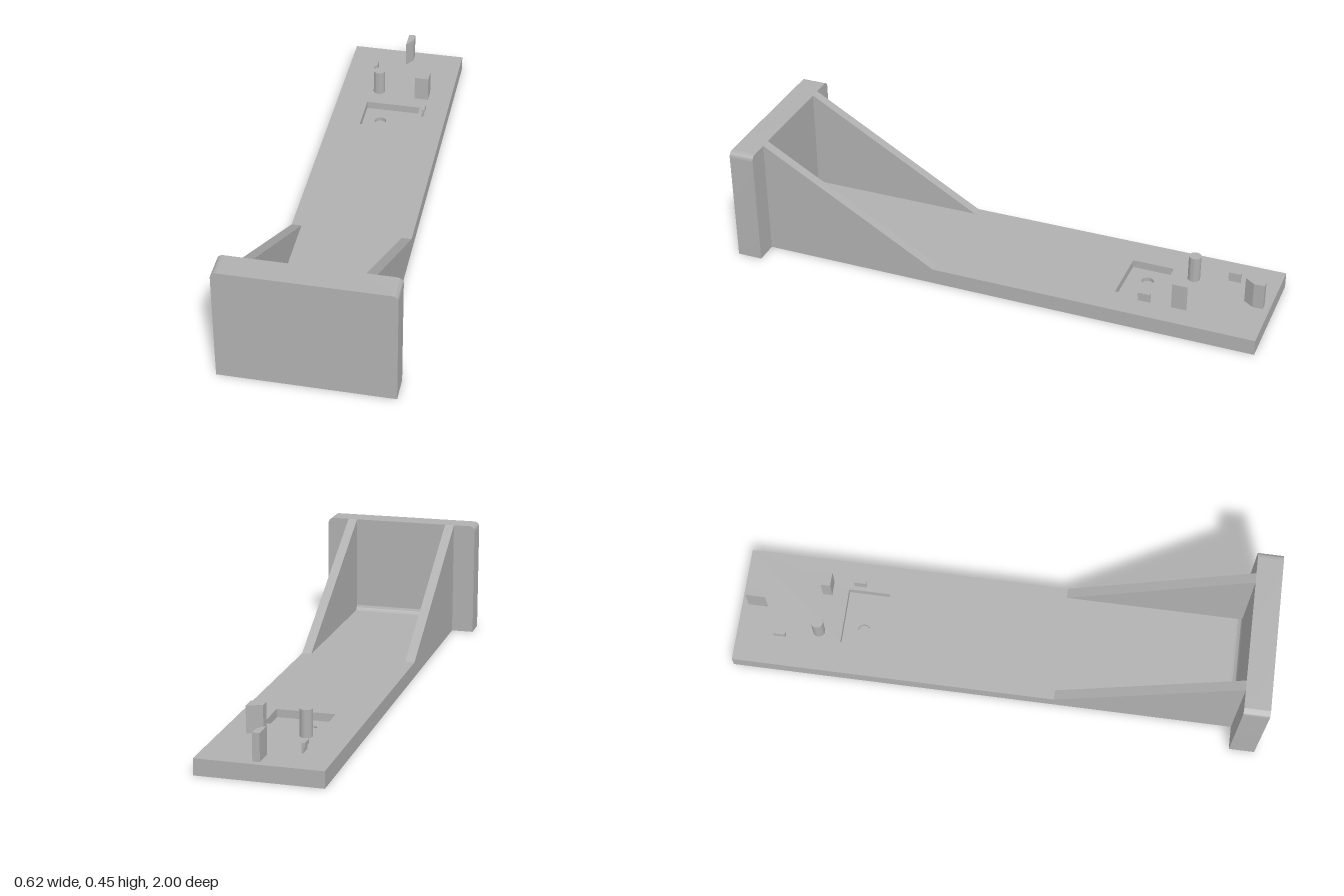
import * as THREE from 'three';
import { toCreasedNormals } from 'three/addons/utils/BufferGeometryUtils.js';

const grey = new THREE.MeshStandardMaterial({ color: 0xb0b0b0 });
grey.name = 'plain grey';

const W = 0.225, T = 0.06, H = 0.45, WALL_Z = 0.905, INNER = 0.188;

function add(group, name, geometry) {
  const mesh = new THREE.Mesh(toCreasedNormals(geometry, 0.6), grey);
  mesh.name = name;
  group.add(mesh);
  return mesh;
}

const polygon = (points) => new THREE.Shape(points.map(([a, b]) => new THREE.Vector2(a, b)));
const extrude = (shape, depth) =>
  new THREE.ExtrudeGeometry(shape, { depth, bevelEnabled: false, curveSegments: 16 });

// Plan outline given as [x, z], raised from y0 to y1
const planShape = (points) => polygon(points.map(([x, z]) => [x, -z]));
const raise = (shape, y0, y1) => extrude(shape, y1 - y0).rotateX(-Math.PI / 2).translate(0, y0, 0);
const rect = (x0, x1, z0, z1) => planShape([[x0, z1], [x1, z1], [x1, z0], [x0, z0]]);

// Side profile given as [z, y], spanning x0 to x1
const across = (shape, x0, x1) => extrude(shape, x1 - x0).rotateY(-Math.PI / 2).translate(x1, 0, 0);

export function createModel() {
  const model = new THREE.Group();
  model.name = 'bracket';

  // Base in three layers: solid floor, blind hole, rectangular pocket
  const floor = rect(-W, W, -1, WALL_Z);
  add(model, 'baseFloor', raise(floor, 0, 0.015));
  const holed = rect(-W, W, -1, WALL_Z);
  holed.holes.push(new THREE.Path().absarc(-0.034, 0.524, 0.023, 0, Math.PI * 2, true));
  add(model, 'baseHoleLayer', raise(holed, 0.015, 0.03));
  const pocketed = rect(-W, W, -1, WALL_Z);
  pocketed.holes.push(rect(-0.103, 0.113, -0.603, -0.445));
  add(model, 'basePocketLayer', raise(pocketed, 0.03, T));

  // Front plate with rounded upper corners
  const w = 0.312, r = 0.022;
  const face = new THREE.Shape();
  face.moveTo(-w, 0);
  face.lineTo(w, 0);
  face.lineTo(w, H - r);
  face.absarc(w - r, H - r, r, 0, Math.PI / 2, false);
  face.absarc(-w + r, H - r, r, Math.PI / 2, Math.PI, false);
  face.closePath();
  add(model, 'frontPlate', extrude(face, 1 - WALL_Z).translate(0, 0, WALL_Z));

  // Triangular side ribs
  const rib = polygon([[0.23, T], [WALL_Z, T], [WALL_Z, H]]);
  add(model, 'leftRib', across(rib, INNER, W));
  add(model, 'rightRib', across(rib, -W, -INNER));

  // Fillet between base and front plate
  const f = 0.022;
  const fillet = new THREE.Shape();
  fillet.moveTo(WALL_Z, T);
  fillet.lineTo(WALL_Z, T + f);
  fillet.absarc(WALL_Z - f, T + f, f, 0, -Math.PI / 2, true);
  fillet.closePath();
  add(model, 'fillet', across(fillet, -INNER, INNER));

  // Locating posts
  add(model, 'roundPost', new THREE.CylinderGeometry(0.023, 0.023, 0.1, 32).translate(-0.07, 0.11, -0.69));
  add(model, 'wedgePost', raise(planShape(
    [[0.08, -0.664], [0.135, -0.664], [0.135, -0.722], [0.08, -0.7]]), T, 0.16));
  add(model, 'endPost', raise(planShape(
    [[0.002, -0.9], [0.028, -0.937], [0.028, -0.976], [0.002, -0.976]]), T, 0.16));

  // Small hooked clips, each with its lip turned outward
  for (const [name, x, z, side] of [['leftClip', 0.129, -0.562, 1], ['rightClip', -0.103, -0.835, -1]]) {
    const clip = new THREE.Group();
    clip.name = name;
    clip.position.set(x, 0, z);
    add(clip, 'stem', new THREE.BoxGeometry(0.007, 0.02, 0.046).translate(side * 0.0035, 0.07, 0));
    add(clip, 'lip', new THREE.BoxGeometry(0.012, 0.016, 0.046).translate(side * 0.006, 0.088, 0));
    model.add(clip);
  }
  return model;
}
